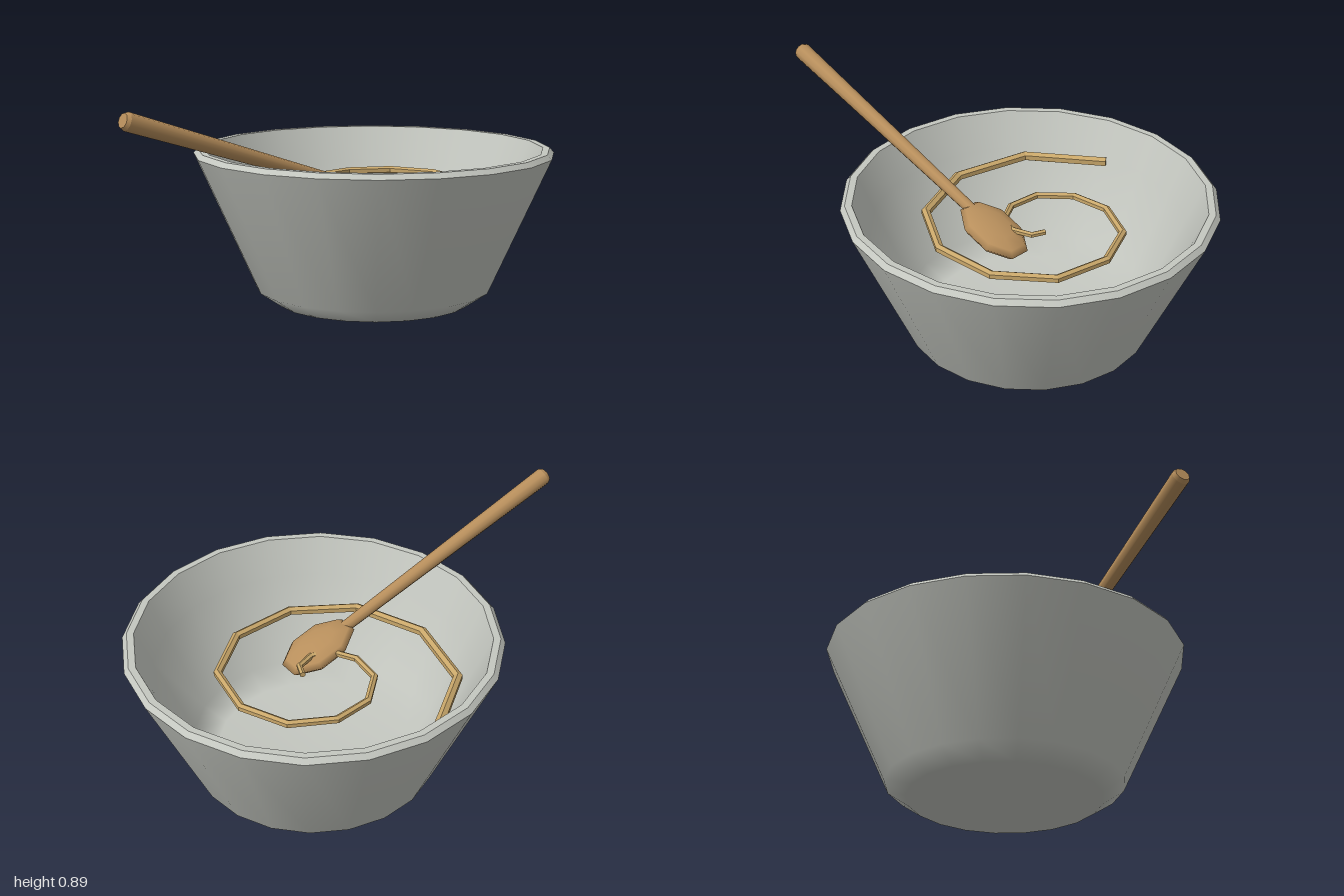
import * as THREE from 'three';

const clay = new THREE.MeshStandardMaterial({ color: 0xc4c7c0 });
clay.name = 'grey stoneware';
const wood = new THREE.MeshStandardMaterial({ color: 0xb88f5c });
wood.name = 'spoon wood';
const cream = new THREE.MeshStandardMaterial({ color: 0xc9a76a });
cream.name = 'tan swirl';

function addMesh(parent, name, geometry, material) {
  const mesh = new THREE.Mesh(geometry, material);
  mesh.name = name;
  parent.add(mesh);
  return mesh;
}

// Turned band of the bowl; each band is smooth, with sharp edges between bands
function band(...pairs) {
  return new THREE.LatheGeometry(pairs.map(([r, y]) => new THREE.Vector2(r, y)), 20);
}

// Flat-shaded strand with mitred corners along a level path
function strand(path, y, radiusAt, sides = 6) {
  const pts = path.map(([x, z]) => new THREE.Vector3(x, y, z));
  const up = new THREE.Vector3(0, 1, 0);
  const n = pts.length;
  const pos = [], idx = [];
  pts.forEach((p, i) => {
    const before = p.clone().sub(pts[Math.max(i - 1, 0)]).normalize();
    const after = pts[Math.min(i + 1, n - 1)].clone().sub(p).normalize();
    const tangent = before.clone().add(after).normalize();
    const side = new THREE.Vector3().crossVectors(up, tangent);
    const r = radiusAt(i / (n - 1));
    for (let k = 0; k < sides; k++) {
      const a = ((k + 0.5) / sides) * Math.PI * 2;
      const v = p.clone().addScaledVector(side, r * Math.cos(a)).addScaledVector(up, r * Math.sin(a));
      pos.push(v.x, v.y, v.z);
    }
  });
  for (let i = 0; i < n - 1; i++) {
    for (let k = 0; k < sides; k++) {
      const a = i * sides + k, b = i * sides + (k + 1) % sides;
      idx.push(a, a + sides, b, b, a + sides, b + sides);
    }
  }
  const last = (n - 1) * sides;
  for (let k = 1; k < sides - 1; k++) {
    idx.push(0, k, k + 1, last, last + k + 1, last + k);
  }
  // side x up runs against the path, so reverse every corner order when needed
  const a = new THREE.Vector3().fromArray(pos, 0);
  const b = new THREE.Vector3().fromArray(pos, 3 * idx[1]);
  const c = new THREE.Vector3().fromArray(pos, 3 * idx[2]);
  const outward = a.clone().add(b).add(c).divideScalar(3).sub(pts[0].clone().add(pts[1]).divideScalar(2));
  if (b.sub(a).cross(c.sub(a)).dot(outward) < 0) idx.reverse();
  const g = new THREE.BufferGeometry();
  g.setAttribute('position', new THREE.Float32BufferAttribute(pos, 3));
  g.setIndex(idx);
  const flat = g.toNonIndexed();
  flat.computeVertexNormals();
  return flat;
}

// Tapered round bar along +z
function bar(r0, r1, z0, z1, open) {
  return new THREE.CylinderGeometry(r1, r0, z1 - z0, 10, 1, open)
    .rotateX(Math.PI / 2).translate(0, 0, (z0 + z1) / 2);
}

export function createModel() {
  const model = new THREE.Group();
  model.name = 'mixingBowl';

  // Bowl
  const bowl = new THREE.Group();
  bowl.name = 'bowl';
  bowl.position.z = -0.256;
  model.add(bowl);
  addMesh(bowl, 'bowlOutside', band([0, 0], [0.4, 0], [0.488, 0.06], [0.745, 0.625]), clay);
  addMesh(bowl, 'rimBevel', band([0.745, 0.625], [0.727, 0.645]), clay);
  addMesh(bowl, 'rimTop', band([0.727, 0.645], [0.699, 0.645]), clay);
  addMesh(bowl, 'innerWall', band([0.699, 0.645], [0.636, 0.505]), clay);
  // Filling below the inner wall
  addMesh(bowl, 'filling', band([0.636, 0.505], [0.485, 0.165], [0.39, 0.11], [0, 0.11]), clay);

  // Swirl winding inward from the bowl wall to the spoon
  const swirl = [
    [-0.615, -0.29], [-0.49, 0.03], [-0.205, 0.19], [0.105, 0.16], [0.31, -0.025], [0.37, -0.29],
    [0.27, -0.52], [0.06, -0.625], [-0.145, -0.595], [-0.275, -0.46], [-0.3, -0.3],
    [-0.23, -0.165], [-0.105, -0.115], [0, -0.14], [0.05, -0.21], [0.045, -0.29], [0, -0.325],
  ];
  addMesh(model, 'swirl', strand(swirl, 0.497, t => 0.021 - 0.009 * t), cream);

  // Spoon, built along +z and then aimed from its head to the handle end
  const spoon = new THREE.Group();
  spoon.name = 'spoon';
  spoon.position.set(0.073, 0.486, -0.135);
  model.add(spoon);
  const tip = new THREE.Vector3(-0.252, 0.864, 0.988);
  const length = tip.distanceTo(spoon.position);
  spoon.lookAt(tip);
  addMesh(spoon, 'spoonHandle', bar(0.023, 0.037, 0.09, length - 0.015, true), wood);
  addMesh(spoon, 'handleEnd', bar(0.037, 0.029, length - 0.015, length, false), wood);
  const head = new THREE.SphereGeometry(1, 8, 6);
  head.rotateY(Math.PI / 8).scale(0.11, 0.044, 0.168);
  addMesh(spoon, 'spoonHead', head, wood);

  return model;
}
